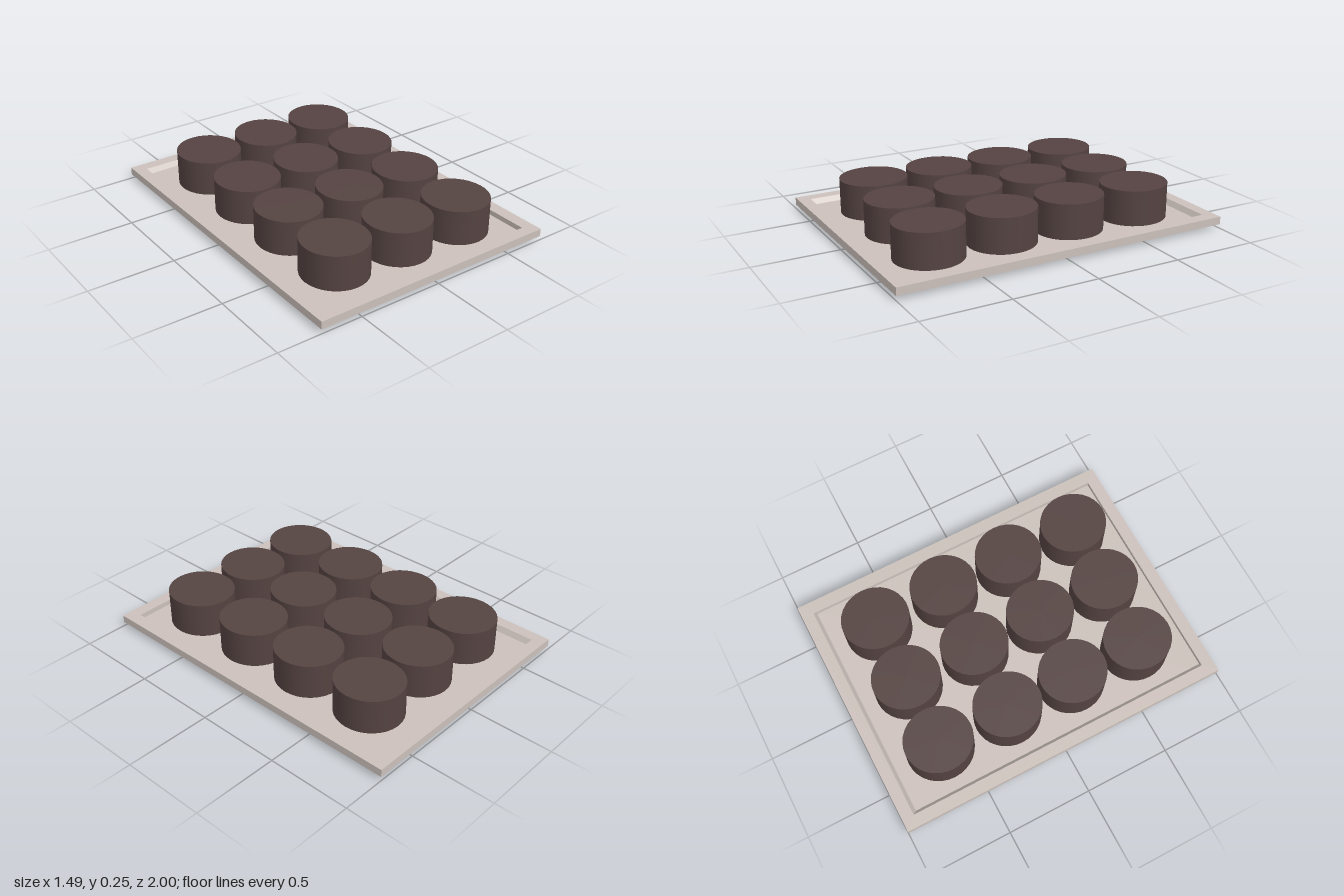
import * as THREE from 'three';

const trayMaterial = new THREE.MeshStandardMaterial({ color: 0xcbc0ba });
trayMaterial.name = 'pale tray';
const puckMaterial = new THREE.MeshStandardMaterial({ color: 0x544341 });
puckMaterial.name = 'dark brown';

const FLOOR = 0.04, RIM = 0.07, TOP = 0.245;
const LEFT = -0.675, RIGHT = 0.67, BACK = -0.93, FRONT = 0.93;

function add(parent, name, geometry, material, x = 0, y = 0, z = 0) {
  const mesh = new THREE.Mesh(geometry, material);
  mesh.name = name;
  mesh.position.set(x, y, z);
  parent.add(mesh);
  return mesh;
}

// Counter-clockwise rectangle corners
function corners(x0, y0, x1, y1) {
  return [[x0, y0], [x1, y0], [x1, y1], [x0, y1]].map(([x, y]) => new THREE.Vector2(x, y));
}

// Triangular strip that gives a recess wall its slope
function wedge(length) {
  const shape = new THREE.Shape([[0, 0], [0.02, 0], [0, RIM - FLOOR]].map(([x, y]) => new THREE.Vector2(x, y)));
  return new THREE.ExtrudeGeometry(shape, { depth: length, bevelEnabled: false });
}

function createTray() {
  const tray = new THREE.Group();
  tray.name = 'tray';
  add(tray, 'foot', new THREE.BoxGeometry(0.99, 0.025, 1.5), trayMaterial, 0, 0.0125, 0);
  add(tray, 'floor', new THREE.BoxGeometry(1.49, FLOOR - 0.025, 2), trayMaterial, 0, (FLOOR + 0.025) / 2, 0);

  // Raised border around the recess
  const border = new THREE.Shape(corners(-0.745, -1, 0.745, 1));
  border.holes.push(new THREE.Path(corners(LEFT, -FRONT, RIGHT, -BACK)));
  const rim = new THREE.ExtrudeGeometry(border, { depth: RIM - FLOOR, bevelEnabled: false });
  rim.rotateX(-Math.PI / 2);
  add(tray, 'rim', rim, trayMaterial, 0, FLOOR, 0);

  // Sloped walls along two sides of the recess
  add(tray, 'sideSlope', wedge(FRONT - BACK), trayMaterial, LEFT, FLOOR, BACK);
  add(tray, 'backSlope', wedge(RIGHT - LEFT), trayMaterial, RIGHT, FLOOR, BACK).rotation.y = -Math.PI / 2;
  return tray;
}

export function createModel() {
  const model = new THREE.Group();
  model.name = 'trayOfRounds';
  model.add(createTray());

  // Three slightly uneven columns of four rounds
  const columns = [
    { x: -0.4, rows: [-0.63, -0.2, 0.215, 0.635] },
    { x: 0.005, rows: [-0.63, -0.2, 0.225, 0.65] },
    { x: 0.405, rows: [-0.63, -0.195, 0.23, 0.665] },
  ];
  const height = TOP - FLOOR;
  const round = new THREE.CylinderGeometry(1, 1, height, 32);
  round.scale(0.188, 1, 0.198);
  const rounds = new THREE.Group();
  rounds.name = 'rounds';
  for (const { x, rows } of columns) {
    for (const z of rows) add(rounds, 'round', round, puckMaterial, x, FLOOR + height / 2, z);
  }
  model.add(rounds);
  return model;
}
